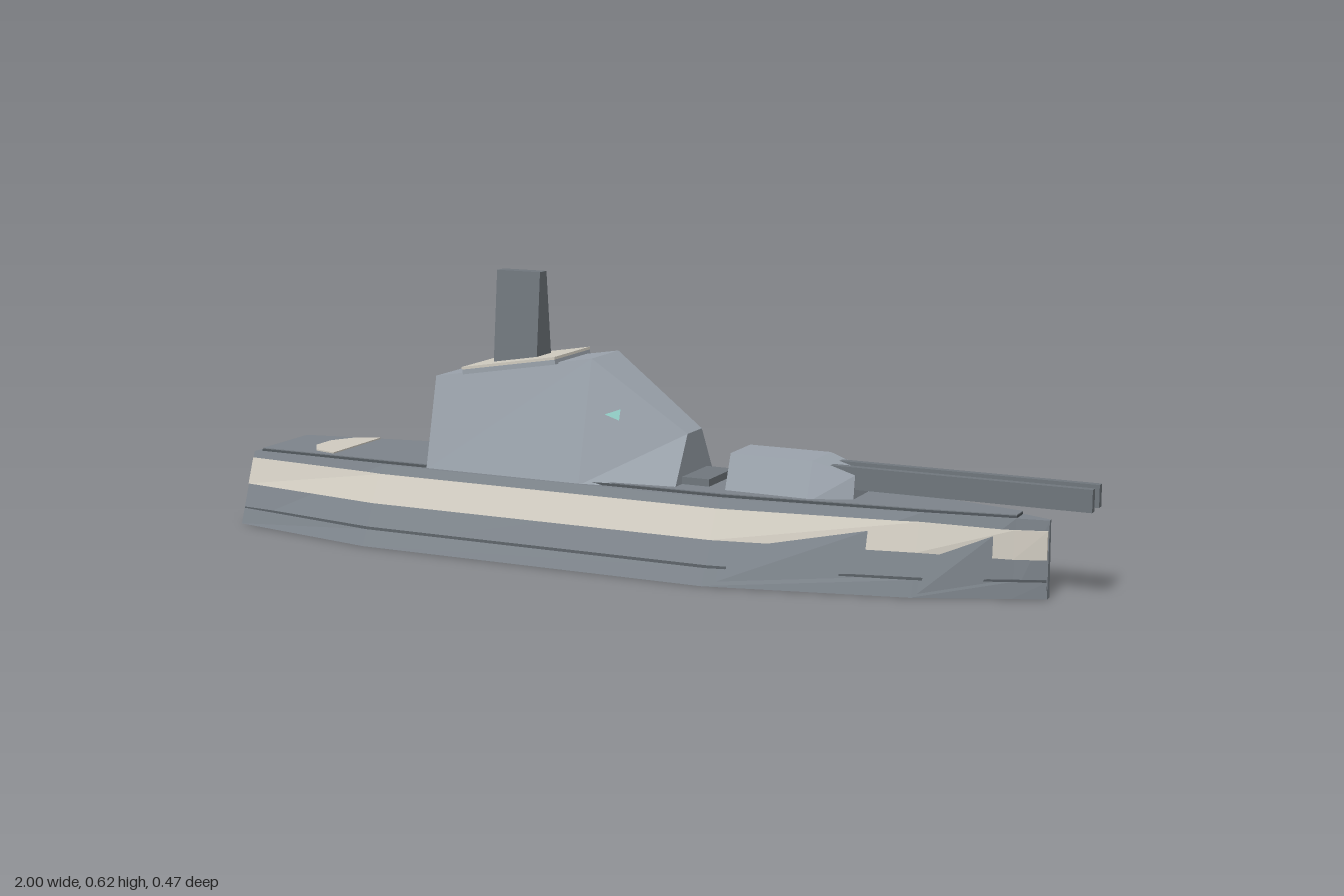
import * as THREE from 'three';

const paint = (name, color) => {
  const m = new THREE.MeshStandardMaterial({ color });
  m.name = name;
  return m;
};

// Hull stations: x, half-width at keel, half-width at deck, deck height
const STATIONS = [
  [-1, 0.165, 0.105, 0.163],
  [-0.62, 0.232, 0.142, 0.171],
  [0.22, 0.222, 0.134, 0.172],
  [0.65, 0.118, 0.068, 0.17],
  [0.84, 0.036, 0.024, 0.168],
  [0.905, 0.009, 0.005, 0.166],
];

// Symmetric four-sided cross-section: [x, lowY, lowHalfWidth, highY, highHalfWidth]
const ring = ([x, y0, w0, y1, w1]) => [[x, y0, w0], [x, y1, w1], [x, y1, -w1], [x, y0, -w0]];

// Joins cross-sections running towards +x; faces stay flat
function loft(sections) {
  const rings = sections.map(ring);
  const pos = [];
  const quad = (a, b, c, d) => pos.push(...a, ...b, ...c, ...a, ...c, ...d);
  for (let i = 0; i < rings.length - 1; i++) {
    for (let j = 0; j < 4; j++) {
      const k = (j + 1) % 4;
      quad(rings[i][j], rings[i + 1][j], rings[i + 1][k], rings[i][k]);
    }
  }
  quad(...rings[0]);
  quad(...[...rings[rings.length - 1]].reverse());
  const g = new THREE.BufferGeometry();
  g.setAttribute('position', new THREE.Float32BufferAttribute(pos, 3));
  g.computeVertexNormals();
  return g;
}

// A slice of the hull standing slightly proud of its sides
function hullBand(low, high, proud, bowDip = 0) {
  return loft(STATIONS.map(([x, b, t, top], i) => {
    const dip = i > 3 ? bowDip : 0;
    const width = (y) => b + (t - b) * y / top + proud;
    const y0 = low - dip, y1 = high - dip - (i === 0 ? 0.003 : 0);
    return [x * 0.998, y0, width(y0), y1, width(y1)];
  }));
}

export function createModel() {
  const hullGrey = paint('hull grey', 0x7d848b);
  const lightGrey = paint('light grey', 0x9ba3ac);
  const darkGrey = paint('dark grey', 0x53595e);
  const gunGrey = paint('gun grey', 0x70777d);
  const cream = paint('cream', 0xd0cbc0);
  const aqua = paint('aqua', 0x93cfc8);

  const ship = new THREE.Group();
  ship.name = 'warship';
  const add = (name, geometry, material, x = 0, y = 0, z = 0) => {
    const m = new THREE.Mesh(geometry, material);
    m.name = name;
    m.position.set(x, y, z);
    ship.add(m);
    return m;
  };
  const box = (w, h, d) => new THREE.BoxGeometry(w, h, d);

  // Hull with inward sloping sides, bands and raised deck
  add('hull', loft(STATIONS.map(([x, b, t, y]) => [x, 0, b, y, t])), hullGrey);
  add('lowerStrake', hullBand(0.001, 0.036, 0.002), hullGrey);
  add('waterlineTrim', hullBand(0.036, 0.041, 0.003), darkGrey);
  add('hullStripe', hullBand(0.091, 0.152, 0.005, 0.008), cream);
  const deckAt = (lift, inset) => STATIONS.slice(0, 5).map(([x, , t, y], i) =>
    [i ? x : -0.985, y - 0.004, t * inset, y + lift, t * inset]);
  add('deckEdge', loft(deckAt(0.005, 0.9)), darkGrey);
  add('deck', loft(deckAt(0.007, 0.86)), hullGrey);

  // Painted patch on the aft deck
  const patch = new THREE.Shape([
    [-0.78, -0.1], [-0.78, 0.1], [-0.84, 0.082], [-0.875, 0.03], [-0.875, -0.03], [-0.84, -0.082],
  ].map(([x, y]) => new THREE.Vector2(x + 0.82, y)));
  const patchGeometry = new THREE.ExtrudeGeometry(patch, { depth: 0.003, bevelEnabled: false });
  const patchMesh = add('deckPatch', patchGeometry, cream, -0.82, 0.1745, 0);
  patchMesh.rotation.set(-Math.PI / 2, -0.021, 0);

  // Faceted superstructure
  add('superstructure', loft([
    [-0.51, 0.168, 0.13, 0.376, 0.08],
    [-0.12, 0.168, 0.132, 0.44, 0.065],
    [0.1, 0.168, 0.104, 0.285, 0.037],
  ]), lightGrey);
  add('forwardStep', box(0.09, 0.022, 0.13), gunGrey, 0.12, 0.184, 0);

  // Tilted roof platform and tapered mast
  const roof = new THREE.Group();
  roof.name = 'roofPlatform';
  roof.position.set(-0.32, 0.41, 0);
  roof.rotation.z = 0.163;
  const slab = new THREE.Mesh(box(0.24, 0.012, 0.168), lightGrey);
  slab.name = 'platformBase';
  const top = new THREE.Mesh(box(0.241, 0.006, 0.169), cream);
  top.name = 'platformTop';
  top.position.y = 0.008;
  roof.add(slab, top);
  ship.add(roof);
  add('mast', loft([
    [-0.385, 0.39, 0.037, 0.617, 0.015],
    [-0.275, 0.39, 0.037, 0.617, 0.015],
  ]), gunGrey);

  // Small arrow-shaped lights lying on the forward side facets
  const sideZ = (x, y) => {
    const t = (x + 0.12) / 0.22;
    const low = 0.132 - 0.028 * t, high = 0.065 - 0.028 * t, topY = 0.44 - 0.155 * t;
    return low + (high - low) * (y - 0.168) / (topY - 0.168) + 0.002;
  };
  for (const s of [1, -1]) {
    const points = [[-0.078, 0.322], [-0.045, 0.31], [-0.045, 0.334]];
    if (s < 0) points.reverse();
    const g = new THREE.BufferGeometry();
    g.setAttribute('position', new THREE.Float32BufferAttribute(
      points.flatMap(([x, y]) => [x, y, s * sideZ(x, y)]), 3));
    g.computeVertexNormals();
    add(s > 0 ? 'leftLight' : 'rightLight', g, aqua);
  }

  // Turret with sloped nose, twin rails and glowing strip between them
  add('turret', loft([
    [0.21, 0.17, 0.085, 0.255, 0.053],
    [0.4, 0.17, 0.085, 0.255, 0.053],
    [0.49, 0.17, 0.045, 0.228, 0.036],
  ]), lightGrey);
  for (const s of [1, -1]) {
    add(s > 0 ? 'leftGunRail' : 'rightGunRail', box(0.58, 0.048, 0.017), gunGrey, 0.71, 0.221, s * 0.0265);
  }
  add('railStrip', box(0.52, 0.018, 0.036), aqua, 0.72, 0.216, 0);

  return ship;
}
